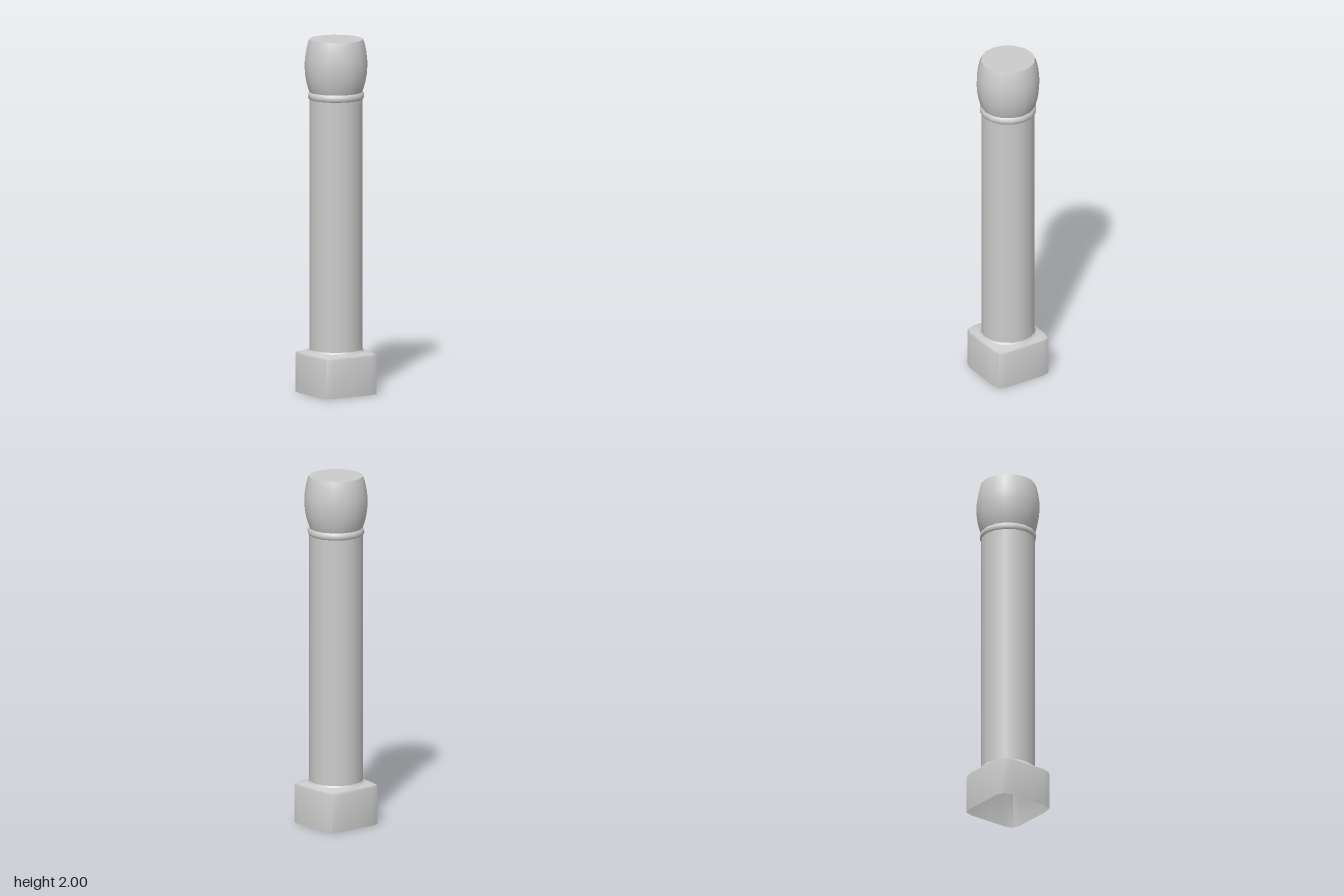
import * as THREE from 'three';
import { toCreasedNormals } from 'three/addons/utils/BufferGeometryUtils.js';

const SIDES = 16;

// Ring of 16 points: a circle of radius r
function circleRing(r, y) {
  return Array.from({ length: SIDES }, (_, i) => {
    const a = (i / SIDES) * Math.PI * 2;
    return [Math.cos(a) * r, y, Math.sin(a) * r];
  });
}

// Ring of 16 points: a square with softened corners, four points per quarter
function squareRing(s, y) {
  const quarter = [[0.178, 0], [0.178, 0.12], [0.164, 0.164], [0.12, 0.178]];
  const ring = [];
  for (let q = 0; q < 4; q++) {
    const c = Math.round(Math.cos(q * Math.PI / 2)), n = Math.round(Math.sin(q * Math.PI / 2));
    for (const [x, z] of quarter) ring.push([(x * c - z * n) * s, y, (x * n + z * c) * s]);
  }
  return ring;
}

// Skin a stack of rings from bottom to top
function loft(rings) {
  const index = [];
  for (let j = 0; j < rings.length - 1; j++) {
    for (let i = 0; i < SIDES; i++) {
      const k = (i + 1) % SIDES;
      const a = j * SIDES + i, b = j * SIDES + k, c = a + SIDES, d = b + SIDES;
      index.push(a, c, b, b, c, d);
    }
  }
  const geo = new THREE.BufferGeometry();
  geo.setAttribute('position', new THREE.Float32BufferAttribute(rings.flat(2), 3));
  geo.setIndex(index);
  return toCreasedNormals(geo, THREE.MathUtils.degToRad(35));
}

function lathe(points) {
  return new THREE.LatheGeometry(points.map(([r, y]) => new THREE.Vector2(r, y)), SIDES);
}

export function createModel() {
  const group = new THREE.Group();
  const material = new THREE.MeshStandardMaterial({ color: 0xcccccc, side: THREE.DoubleSide });
  const add = (name, geometry) => {
    const mesh = new THREE.Mesh(geometry, material);
    mesh.name = name;
    group.add(mesh);
    return mesh;
  };

  // Square hollow plinth, open below, sloping up to the round shaft
  add('plinth', loft([
    squareRing(1, 0),
    squareRing(1, 0.215),
    squareRing(0.975, 0.226),
    circleRing(0.158, 0.24),
    circleRing(0.151, 0.25),
  ]));

  // Plain round shaft
  add('shaft', lathe([[0.151, 0.25], [0.151, 1.668]]));

  // Rounded collar under the head
  add('collar', lathe([
    [0.151, 1.664], [0.157, 1.67], [0.159, 1.682], [0.157, 1.694], [0.149, 1.704],
  ]));

  // Bulging head
  add('head', lathe([
    [0.149, 1.704], [0.157, 1.725], [0.167, 1.76], [0.174, 1.8], [0.178, 1.85],
    [0.176, 1.89], [0.17, 1.935], [0.161, 1.975], [0.152, 2],
  ]));

  // Flat top
  const top = add('top', new THREE.CircleGeometry(0.152, SIDES));
  top.rotation.x = -Math.PI / 2;
  top.position.y = 2;

  return group;
}
